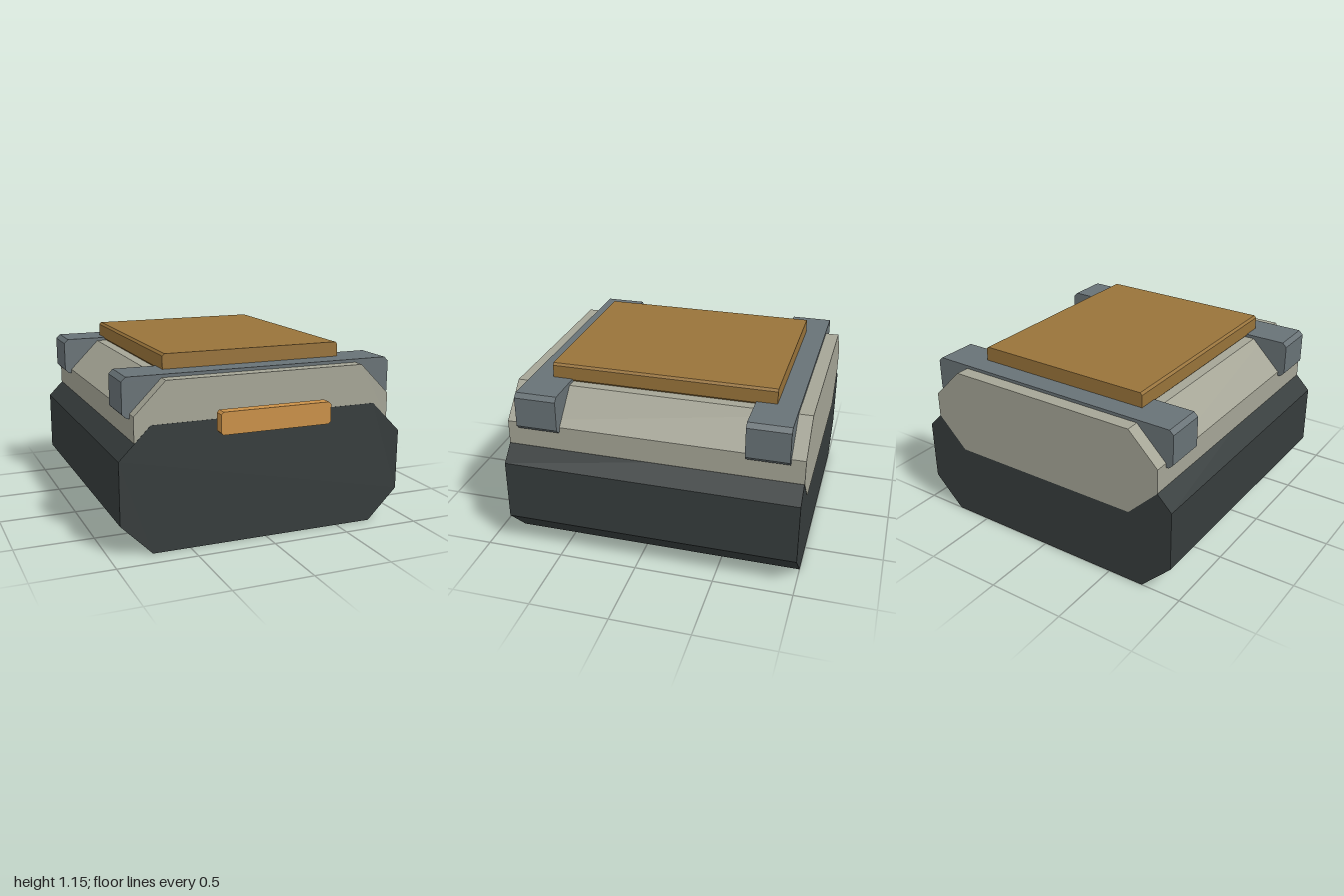
import * as THREE from 'three';

const material = (name, color) => {
  const m = new THREE.MeshStandardMaterial({ color });
  m.name = name;
  return m;
};

// Prism along z whose front outline is a rectangle with cut corners
function chamferedPrism(name, mat, halfWidth, y0, y1, z0, z1, cut) {
  const w = halfWidth, c = cut;
  const outline = [
    [-w + c, y0], [w - c, y0], [w, y0 + c], [w, y1 - c],
    [w - c, y1], [-w + c, y1], [-w, y1 - c], [-w, y0 + c],
  ].map(([x, y]) => new THREE.Vector2(x, y));
  const geometry = new THREE.ExtrudeGeometry(new THREE.Shape(outline), {
    depth: z1 - z0, bevelEnabled: false,
  });
  geometry.translate(0, 0, z0);
  const mesh = new THREE.Mesh(geometry, mat);
  mesh.name = name;
  return mesh;
}

export function createModel() {
  const dark = material('dark slate', 0x363c3c);
  const stone = material('stone grey', 0xa5a596);
  const steel = material('steel grey', 0x687276);
  const bronze = material('bronze', 0x98733a);
  const amber = material('amber', 0xc99048);

  const model = new THREE.Group();
  model.name = 'chamferedCase';

  // Lower hull and the lid sunk into it (lid set back a hair to keep end faces distinct)
  model.add(chamferedPrism('lowerHull', dark, 0.935, 0, 0.785, -1, 0.866, 0.197));
  model.add(chamferedPrism('upperLid', stone, 0.84, 0.49, 1.04, -1.002, 0.864, 0.197));

  // Cross straps
  for (const [name, z0, z1] of [['frontStrap', 0.52, 0.785], ['rearStrap', -0.915, -0.65]]) {
    model.add(chamferedPrism(name, steel, 0.885, 0.815, 1.06, z0, z1, 0.027));
  }

  // Top panel and the floating front bar
  model.add(chamferedPrism('topPanel', bronze, 0.59, 1.04, 1.153, -0.78, 0.647, 0.014));
  model.add(chamferedPrism('frontBar', amber, 0.358, 0.72, 0.857, 0.932, 1, 0.015));
  return model;
}
